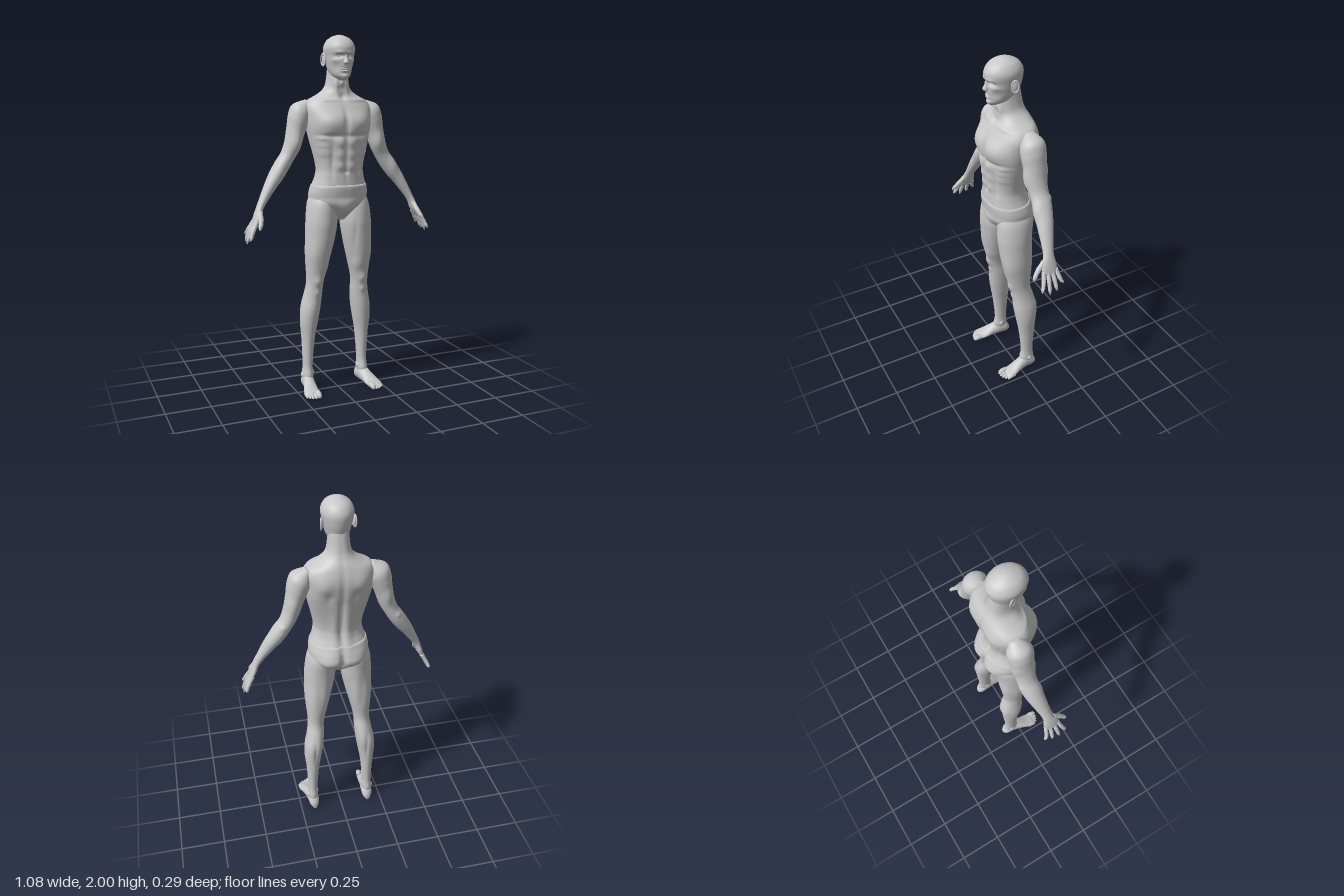
import * as THREE from 'three';

const skin = new THREE.MeshStandardMaterial({ color: 0xc8c8c8 });
skin.name = 'plain grey';

const V = (x, y, z) => new THREE.Vector3(x, y, z);
const X = V(1, 0, 0), Y = V(0, 1, 0), Z = V(0, 0, 1);

// Smooth interpolation between cross-sections at position s
function ringAt(rings, s) {
  const last = rings.length - 1;
  const i = Math.min(Math.floor(s), last - 1), t = s - i;
  const [p, a, b, q] = [i - 1, i, i + 1, i + 2].map((k) => rings[Math.max(0, Math.min(last, k))]);
  return a.map((_, k) => {
    const m0 = (b[k] - p[k]) / 2, m1 = (q[k] - a[k]) / 2, d = a[k] - b[k];
    return a[k] + m0 * t + (-3 * d - 2 * m0 - m1) * t * t + (2 * d + m0 + m1) * t * t * t;
  });
}

// Skin over cross-sections [x, y, z, half width along u, half depth along v]
function loft(rings, { u = X, v = Z, n = 2, segs = 48, steps = 6, to = rings.length - 1 } = {}) {
  const rows = Math.round(to * steps), pos = [], idx = [];
  const power = (c) => Math.sign(c) * Math.abs(c) ** (2 / n);
  for (let r = 0; r <= rows; r++) {
    const [x, y, z, a, d] = ringAt(rings, r / steps);
    for (let k = 0; k < segs; k++) {
      const w = (k / segs) * Math.PI * 2;
      const p = V(x, y, z).addScaledVector(u, a * power(Math.cos(w))).addScaledVector(v, d * power(Math.sin(w)));
      pos.push(p.x, p.y, p.z);
    }
  }
  const [start, end] = [0, rows / steps].map((s) => V(...ringAt(rings, s).slice(0, 3)));
  const tip = (rows + 1) * segs;
  pos.push(...start.toArray(), ...end.toArray());
  const forward = u.clone().cross(v).dot(end.sub(start)) > 0;
  const tri = (a, b, c) => (forward ? idx.push(a, b, c) : idx.push(a, c, b));
  for (let k = 0; k < segs; k++) {
    const m = (k + 1) % segs;
    for (let r = 0; r < rows; r++) {
      const a = r * segs + k, b = r * segs + m;
      tri(a, b, b + segs);
      tri(a, b + segs, a + segs);
    }
    tri(tip, m, k);
    tri(tip + 1, rows * segs + k, rows * segs + m);
  }
  const g = new THREE.BufferGeometry();
  g.setAttribute('position', new THREE.Float32BufferAttribute(pos, 3));
  g.setIndex(idx);
  g.computeVertexNormals();
  return g;
}

// Raise or press soft spots [x, y, rx, ry, height] on the front and back, the same on both sides
function sculpt(g, front, back, offset = 0) {
  const p = g.attributes.position, nrm = g.attributes.normal;
  for (let i = 0; i < p.count; i++) {
    const x = p.getX(i), y = p.getY(i), z = p.getZ(i), facing = nrm.getZ(i);
    let h = 0;
    for (const [cx, cy, rx, ry, amp] of facing > 0 ? front : back) {
      h += amp * Math.exp(-(((Math.abs(x) - cx) / rx) ** 2) - ((y - cy) / ry) ** 2);
    }
    h = h * Math.abs(facing) + offset;
    p.setXYZ(i, x + nrm.getX(i) * h, y + nrm.getY(i) * h, z + nrm.getZ(i) * h);
  }
  g.computeVertexNormals();
  return g;
}

function mirrored(g) {
  const m = g.clone().scale(-1, 1, 1), a = m.index.array;
  for (let i = 0; i < a.length; i += 3) [a[i + 1], a[i + 2]] = [a[i + 2], a[i + 1]];
  m.computeVertexNormals();
  return m;
}

// Finger or toe with a slight joint and a round tip
function digit(points, r, u, v) {
  const curve = new THREE.CatmullRomCurve3(points);
  const rings = [1, 0.93, 1, 0.88, 0.82, 0.1].map((k, i) => [...curve.getPoint(i / 5).toArray(), r * k, r * k]);
  return loft(rings, { u, v, segs: 14, steps: 4 });
}

const ball = (x, y, z, sx, sy, sz) => new THREE.SphereGeometry(1, 24, 16).scale(sx, sy, sz).translate(x, y, z);
const onAxis = (rings) => rings.map((r) => [0, ...r]);

// Trunk sections from crotch to throat: height, z, half width, half depth
const torsoRings = onAxis([
  [1.0, 0, 0.03, 0.05], [1.08, -0.007, 0.145, 0.115], [1.13, -0.006, 0.162, 0.122], [1.18, 0.004, 0.156, 0.118],
  [1.24, 0.015, 0.138, 0.105], [1.3, 0.016, 0.135, 0.102], [1.44, 0.008, 0.165, 0.122], [1.5, 0.003, 0.178, 0.131],
  [1.56, -0.005, 0.186, 0.132], [1.61, -0.016, 0.19, 0.12], [1.65, -0.024, 0.17, 0.103], [1.68, -0.028, 0.115, 0.088],
  [1.71, -0.023, 0.076, 0.077], [1.75, -0.015, 0.06, 0.071], [1.84, -0.01, 0.052, 0.06],
]);
const torsoFront = [
  [0.085, 1.53, 0.07, 0.05, 0.018], [0, 1.53, 0.012, 0.08, -0.012], [0.08, 1.462, 0.07, 0.012, -0.009], // chest
  [0.1, 1.652, 0.07, 0.009, 0.006], [0, 1.67, 0.016, 0.015, -0.01], // collarbones
  ...[1.425, 1.36, 1.3].map((y) => [0.034, y, 0.026, 0.026, 0.011]), // stomach
  [0, 1.34, 0.008, 0.13, -0.006], [0, 1.268, 0.008, 0.01, -0.01], [0.078, 1.33, 0.012, 0.1, -0.007],
  ...[0, 1, 2].map((i) => [0.13 - i * 0.005, 1.45 - i * 0.04, 0.03, 0.014, 0.009]), // ribs
  [0, 1.065, 0.04, 0.035, 0.014], [0.03, 1.73, 0.012, 0.05, 0.007], [0, 1.745, 0.01, 0.014, 0.009], // crotch, neck
];
const torsoBack = [
  [0.15, 1.47, 0.05, 0.09, 0.01], [0.1, 1.575, 0.045, 0.05, 0.011], [0.07, 1.5, 0.02, 0.035, -0.006], // shoulder blades
  [0, 1.4, 0.013, 0.22, -0.014], [0.036, 1.28, 0.025, 0.11, 0.01], // spine
  [0.075, 1.09, 0.055, 0.055, 0.018], [0, 1.075, 0.012, 0.065, -0.028], // seat
];

const headRings = onAxis([
  [1.757, 0.068, 0.012, 0.023], [1.78, 0.038, 0.045, 0.068], [1.81, 0.024, 0.061, 0.084], [1.84, 0.019, 0.069, 0.092],
  [1.88, 0.014, 0.077, 0.098], [1.93, 0.015, 0.084, 0.1025], [1.97, 0.014, 0.066, 0.079], [1.992, 0.014, 0.034, 0.038],
  [2.0, 0.015, 0.003, 0.003],
]);
const face = [
  [0.03, 1.903, 0.024, 0.008, 0.007], [0.031, 1.885, 0.019, 0.011, -0.014], // brow, eye sockets
  [0.052, 1.862, 0.018, 0.012, 0.007], [0.05, 1.825, 0.018, 0.02, -0.007], // cheeks
  [0, 1.775, 0.02, 0.013, 0.006], [0, 1.793, 0.025, 0.006, -0.005], // chin
];

// Arm from shoulder to palm: centre, half width, half depth
const armRings = [
  [0.165, 1.648, -0.04, 0.015, 0.025], [0.2, 1.6, -0.038, 0.058, 0.064], [0.222, 1.545, -0.036, 0.061, 0.068],
  [0.238, 1.485, -0.035, 0.053, 0.061], [0.258, 1.41, -0.033, 0.046, 0.057], [0.285, 1.35, -0.037, 0.04, 0.052],
  [0.318, 1.3, -0.036, 0.042, 0.052], [0.355, 1.245, -0.028, 0.04, 0.048], [0.39, 1.195, -0.018, 0.033, 0.042],
  [0.45, 1.095, 0, 0.02, 0.03], [0.475, 1.035, 0.009, 0.018, 0.044], [0.495, 0.99, 0.01, 0.01, 0.042],
];
const armFront = [[0.235, 1.42, 0.03, 0.05, 0.009], [0.34, 1.285, 0.03, 0.05, 0.007]];
const armBack = [[0.255, 1.46, 0.03, 0.05, 0.009], [0.315, 1.335, 0.014, 0.014, 0.006]];

// Leg from hip to ankle
const legRings = [
  [0.095, 1.17, -0.01, 0.04, 0.06], [0.099, 1.1, -0.006, 0.074, 0.1], [0.102, 1.0, 0.004, 0.087, 0.101],
  [0.108, 0.92, 0.005, 0.084, 0.095], [0.12, 0.82, 0, 0.074, 0.088], [0.128, 0.74, -0.007, 0.061, 0.077],
  [0.136, 0.64, -0.015, 0.047, 0.062], [0.143, 0.56, -0.03, 0.05, 0.065], [0.155, 0.48, -0.038, 0.054, 0.068],
  [0.163, 0.4, -0.043, 0.05, 0.061], [0.167, 0.3, -0.048, 0.037, 0.05], [0.17, 0.15, -0.05, 0.028, 0.038],
  [0.171, 0.08, -0.048, 0.031, 0.046], [0.172, 0.03, -0.05, 0.02, 0.03],
];
const legFront = [
  [0.09, 0.735, 0.03, 0.045, 0.009], [0.175, 0.8, 0.03, 0.08, 0.007], [0.07, 0.92, 0.012, 0.1, -0.005], // thigh
  [0.135, 0.652, 0.024, 0.026, 0.01], [0.138, 0.585, 0.014, 0.016, 0.006], // knee
];
const legBack = [
  ...[0.09, 0.155].map((x) => [x, 0.85, 0.022, 0.12, 0.006]), // thigh
  ...[0.128, 0.182].map((x) => [x, 0.49, 0.025, 0.075, 0.009]), [0.155, 0.45, 0.008, 0.07, -0.006], // calf
];

// Foot from heel to ball: x, z, half width, half height, with the sole on the floor
const footRings = [
  [0.168, -0.108, 0.012, 0.02], [0.169, -0.085, 0.03, 0.038], [0.172, -0.04, 0.033, 0.047], [0.18, 0.01, 0.036, 0.037],
  [0.189, 0.06, 0.043, 0.023], [0.195, 0.1, 0.042, 0.015], [0.196, 0.114, 0.02, 0.008],
].map(([x, z, a, d]) => [x, d, z, a, d]);

export function createModel() {
  const model = new THREE.Group();
  model.name = 'standing figure';
  const add = (name, g) => {
    const mesh = new THREE.Mesh(g, skin);
    mesh.name = name;
    model.add(mesh);
  };
  const pair = (name, g) => {
    add('left ' + name, g);
    add('right ' + name, mirrored(g));
  };

  // Trunk, with briefs as a thin layer over the hips
  const trunk = { n: 2.25, segs: 112, steps: 10 };
  add('torso and neck', sculpt(loft(torsoRings, trunk), torsoFront, torsoBack));
  add('briefs', sculpt(loft(torsoRings, { ...trunk, to: 3.2 }), torsoFront, torsoBack, 0.004));
  pair('nipple', ball(0.09, 1.516, 0.13, 0.006, 0.006, 0.006));

  // Head
  add('head', sculpt(loft(headRings, { segs: 96, steps: 9 }), face, []));
  add('nose', loft(onAxis([
    [1.902, 0.102, 0.007, 0.008], [1.878, 0.107, 0.008, 0.012], [1.85, 0.114, 0.015, 0.018], [1.84, 0.107, 0.011, 0.008],
  ]), { segs: 24 }));
  add('upper lip', ball(0, 1.815, 0.104, 0.024, 0.0045, 0.01));
  add('lower lip', ball(0, 1.806, 0.104, 0.02, 0.005, 0.01));
  pair('eye', ball(0.031, 1.885, 0.083, 0.013, 0.009, 0.011));
  pair('ear', ball(0, 0, 0, 0.007, 0.03, 0.018).rotateY(-0.35).translate(0.08, 1.868, -0.002));
  pair('ear rim', new THREE.TorusGeometry(0.018, 0.004, 10, 28).scale(1, 1.7, 1)
    .rotateY(Math.PI / 2 - 0.35).translate(0.085, 1.868, -0.004));

  // Arms and hands, fingers fanning out from the knuckles
  pair('arm', sculpt(loft(armRings, { u: V(0.85, 0.52, 0), segs: 56, steps: 8 }), armFront, armBack));
  [0.915, 0.894, 0.902, 0.93].forEach((y, i) => {
    const z = 0.045 - i * 0.0237, tipZ = 0.079 - i * 0.0437, x = 0.541 - (y - 0.894) * 0.4;
    const points = [V(0.484, 1.012, z), V(0.516, 0.955, (z + tipZ) / 2), V(x, y, tipZ)];
    pair('finger ' + (i + 1), digit(points, 0.012, V(0.92, 0.38, 0), Z));
  });
  pair('thumb', digit([V(0.462, 1.062, 0.03), V(0.472, 1.015, 0.075), V(0.488, 0.975, 0.107)], 0.0145, X, V(0, 0.63, 0.76)));

  // Legs and feet
  pair('leg', sculpt(loft(legRings, { segs: 64, steps: 8 }), legFront, legBack));
  pair('inner ankle', ball(0.145, 0.095, -0.045, 0.011, 0.018, 0.016));
  pair('outer ankle', ball(0.198, 0.083, -0.055, 0.011, 0.018, 0.016));
  pair('foot', loft(footRings, { v: Y, segs: 40 }));
  for (let i = 0; i < 5; i++) {
    const x = 0.166 + i * 0.0205 - i * i * 0.0012, tip = 0.147 - i * i * 0.002;
    const r = i ? 0.0115 - i * 0.0006 : 0.0165;
    const points = [V(x - 0.003, r + 0.006, tip - 0.055), V(x, r + 0.005, tip - 0.025), V(x + 0.002, r * 0.85, tip)];
    pair('toe ' + (i + 1), digit(points, r, X, Y));
  }
  return model;
}
